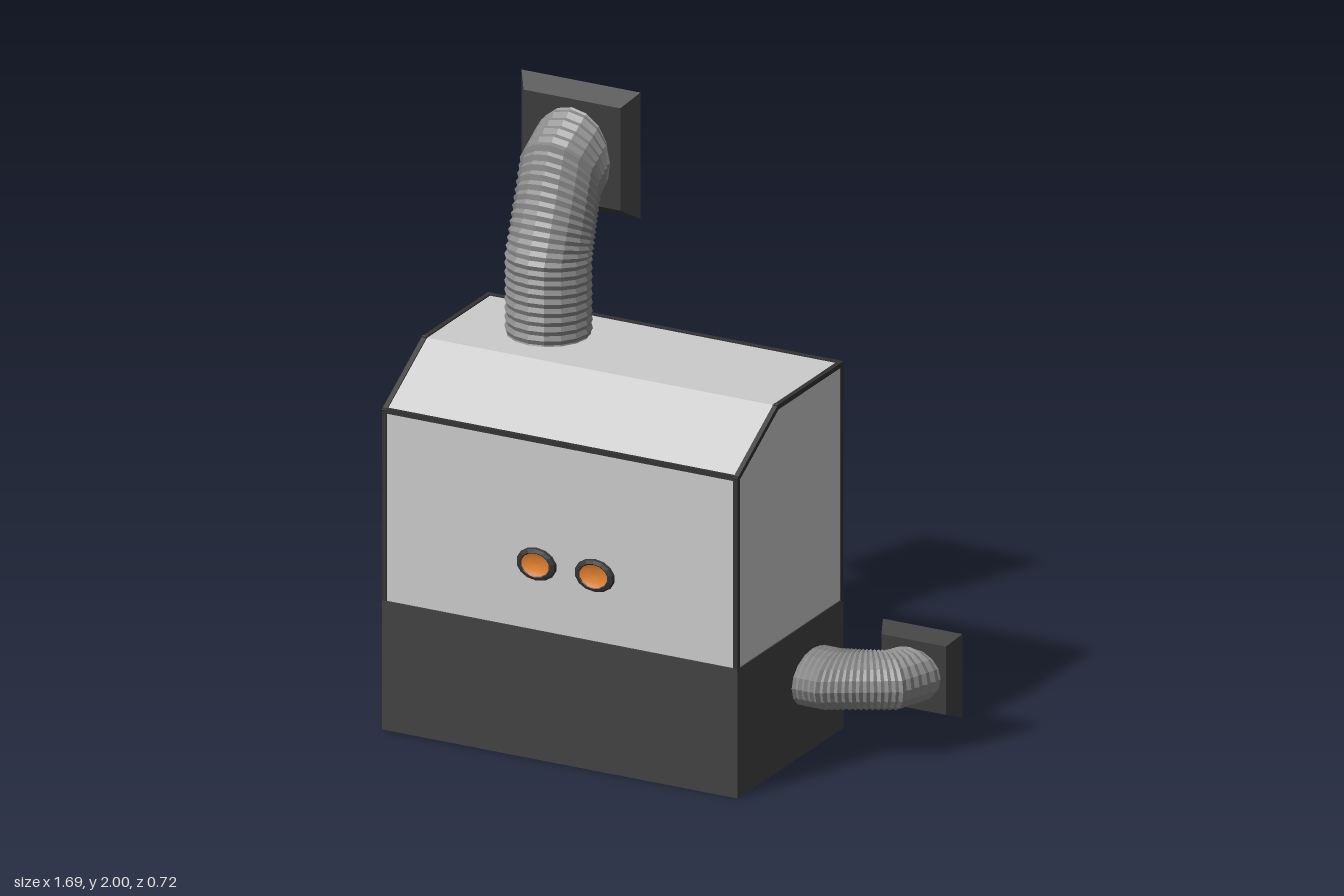
import * as THREE from 'three';

const paint = (color, flatShading = true) => new THREE.MeshStandardMaterial({ color, flatShading });
const GREY = paint(0xcccccc), BASE = paint(0x424242), TRIM = paint(0x333333);
const HOSE = paint(0x8c8c8c), PLATE = paint(0x3c3c3c), GLOW = paint(0xe58230, false);
GLOW.side = THREE.DoubleSide;

const LEFT = 0.425, RIGHT = -0.845, MID = (LEFT + RIGHT) / 2;
const BACK = -0.345, FRONT = 0.357, SPLIT = 0.435;

function add(parent, name, geometry, material, x = 0, y = 0, z = 0) {
  const mesh = new THREE.Mesh(geometry, material);
  mesh.name = name;
  mesh.position.set(x, y, z);
  parent.add(mesh);
  return mesh;
}

// Corrugated hose: each ring spans an outer and an inner [z, y] point
function hoseGeometry() {
  const stations = [
    { outer: [0, 1.22], inner: [-0.28, 1.22], ridges: 0 },
    { outer: [0, 1.5], inner: [-0.28, 1.47], ridges: 9 },
    { outer: [-0.14, 1.86], inner: [-0.298, 1.6], ridges: 12 },
    { outer: [-0.305, 1.945], inner: [-0.305, 1.625], ridges: 5 },
  ];
  const sides = 16, pos = [], index = [];
  const ring = (o, i, k) => {
    const cz = (o[0] + i[0]) / 2, cy = (o[1] + i[1]) / 2;
    for (let s = 0; s < sides; s++) {
      const a = (s / sides) * Math.PI * 2, c = Math.cos(a) * k;
      pos.push(Math.sin(a) * 0.14 * k, cy + (o[1] - cy) * c, cz + (o[0] - cz) * c);
    }
  };
  const mix = (a, b, t) => [a[0] + (b[0] - a[0]) * t, a[1] + (b[1] - a[1]) * t];
  for (let n = 1; n < stations.length; n++) {
    const p = stations[n - 1], q = stations[n], steps = q.ridges * 2;
    for (let j = n === 1 ? 0 : 1; j <= steps; j++) {
      const t = j / steps;
      ring(mix(p.outer, q.outer, t), mix(p.inner, q.inner, t), j % 2 ? 0.95 : 1);
    }
  }
  const rings = pos.length / 3 / sides;
  for (let r = 0; r < rings - 1; r++) {
    for (let s = 0; s < sides; s++) {
      const a = r * sides + s, b = r * sides + ((s + 1) % sides);
      index.push(a, b, a + sides, b, b + sides, a + sides);
    }
  }
  const g = new THREE.BufferGeometry();
  g.setAttribute('position', new THREE.Float32BufferAttribute(pos, 3));
  g.setIndex(index);
  g.computeVertexNormals();
  return g;
}

// Hose ending in a square wall plate with bevelled sides
function duct(name) {
  const g = new THREE.Group();
  g.name = name;
  add(g, 'hose', hoseGeometry(), HOSE);
  const plate = new THREE.CylinderGeometry(0.1725 * Math.SQRT2, 0.2125 * Math.SQRT2, 0.06, 4)
    .rotateY(Math.PI / 4).rotateX(Math.PI / 2);
  add(g, 'wallPlate', plate, PLATE, 0, 1.79, -0.325);
  return g;
}

// Thin square bar between two points
function bar(parent, a, b, t = 0.016) {
  const p = new THREE.Vector3(...a), q = new THREE.Vector3(...b);
  const mesh = add(parent, 'edgeTrim', new THREE.BoxGeometry(t, t, p.distanceTo(q) + t * 0.9), TRIM);
  mesh.position.copy(p).lerp(q, 0.5);
  mesh.lookAt(q);
}

export function createModel() {
  const model = new THREE.Group();

  // Base
  add(model, 'base', new THREE.BoxGeometry(LEFT - RIGHT, SPLIT, FRONT - BACK), BASE,
    MID, SPLIT / 2, (FRONT + BACK) / 2);

  // Cabinet with a sloping front hood, as a side profile of [z, y]
  const e = 0.004;
  const profile = [[FRONT - e, SPLIT], [FRONT - e, 1.078], [0.088, 1.235 - e], [BACK + e, 1.235 - e], [BACK + e, SPLIT]];
  const shape = new THREE.Shape(profile.map(([z, y]) => new THREE.Vector2(-z, y)));
  const cabinet = new THREE.ExtrudeGeometry(shape, { depth: LEFT - RIGHT - 2 * e, bevelEnabled: false })
    .rotateY(Math.PI / 2);
  add(model, 'cabinet', cabinet, GREY, RIGHT + e);

  // Trim along both side outlines, the front fold and the top back edge
  const trim = new THREE.Group();
  trim.name = 'trim';
  const h = 0.008;
  const line = [[FRONT - h, SPLIT], [FRONT - h, 1.075], [0.088, 1.235 - h], [BACK + h, 1.235 - h], [BACK + h, SPLIT]];
  for (const x of [LEFT - h, RIGHT + h]) {
    for (let i = 0; i < 4; i++) bar(trim, [x, line[i][1], line[i][0]], [x, line[i + 1][1], line[i + 1][0]]);
  }
  for (const i of [1, 3]) bar(trim, [LEFT - h, line[i][1], line[i][0]], [RIGHT + h, line[i][1], line[i][0]]);
  model.add(trim);

  // Two glowing portholes
  const lathe = (pts) => new THREE.LatheGeometry(pts.map(([r, y]) => new THREE.Vector2(r, y)), 14)
    .rotateX(Math.PI / 2).scale(1, 0.77, 1);
  for (const x of [-0.295, -0.087]) {
    const port = new THREE.Group();
    port.name = 'porthole';
    add(port, 'rim', lathe([[0.072, 0], [0.068, 0.008], [0.054, 0.012], [0.049, 0.009]]), TRIM);
    add(port, 'glow', lathe([[0, 0.001], [0.03, 0.003], [0.05, 0.01]]), GLOW);
    port.position.set(x, 0.657, FRONT - e);
    model.add(port);
  }

  // Top duct, and a smaller copy leaving the left side
  const top = duct('topDuct');
  top.position.x = -0.518;
  model.add(top);
  const side = duct('sideDuct');
  side.rotation.z = -Math.PI / 2;
  side.scale.set(0.667, 0.667, 1);
  side.position.set(-0.492, 0.247, 0);
  model.add(side);

  return model;
}
